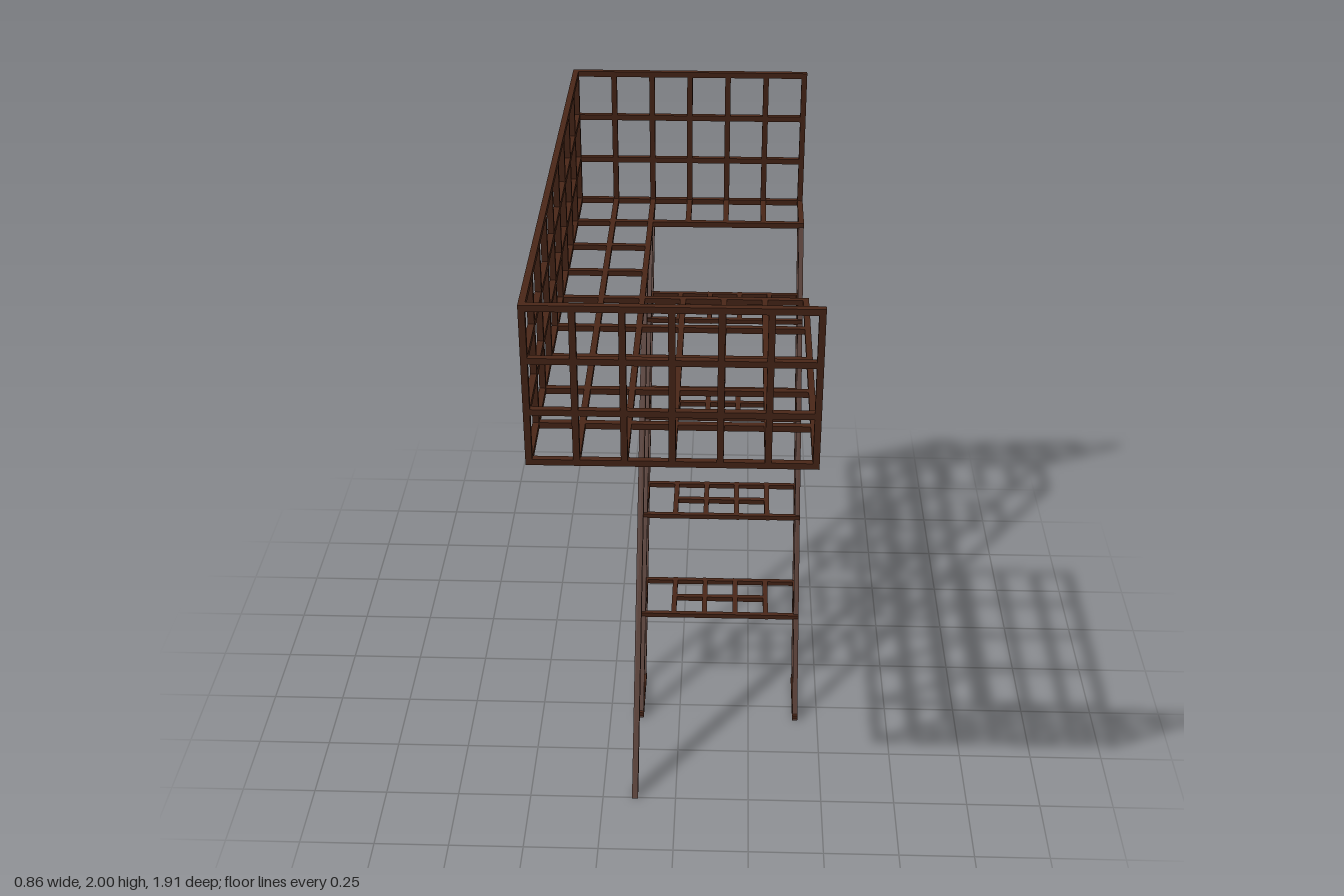
import * as THREE from 'three';

export function createModel() {
  const root = new THREE.Group();
  const brown = new THREE.MeshStandardMaterial({ color: 0x4a2718 });
  brown.name = 'dark brown';

  const T = 0.02;                       // bar thickness
  const X = 0.42, Z = 0.943;            // half sizes of the deck
  const floorY = 1.486, topY = 1.99;
  const sx = X / 3, sz = (2 * Z) / 9;   // deck grid cell
  const rail = (topY - floorY) / 3;     // wall grid row
  const xs = i => -X + i * sx;
  const zs = k => Z - k * sz;

  const group = name => {
    const g = new THREE.Group();
    g.name = name;
    root.add(g);
    return g;
  };

  // Straight bar along one axis between two points
  function bar(parent, name, a, b, t = T) {
    const size = a.map((v, i) => Math.abs(b[i] - v) + t);
    const m = new THREE.Mesh(new THREE.BoxGeometry(...size), brown);
    m.position.set(...a.map((v, i) => (v + b[i]) / 2));
    m.name = name;
    parent.add(m);
  }

  // Bar leaning backwards, with ends cut level
  const treadRise = (floorY - 0.01) / 5;
  const slope = sz / treadRise;
  function slantedBar(parent, name, x, zFoot, depth, width = T) {
    const geo = new THREE.BoxGeometry(width, floorY, depth);
    geo.translate(0, floorY / 2, 0);
    const p = geo.attributes.position;
    for (let i = 0; i < p.count; i++) p.setZ(i, p.getZ(i) - slope * p.getY(i));
    geo.computeVertexNormals();
    const m = new THREE.Mesh(geo, brown);
    m.position.set(x, 0, zFoot);
    m.name = name;
    parent.add(m);
  }

  // Deck grid, with an opening over the stairs (x cells 2-6, z cells 5-8)
  const deck = group('deck');
  for (let i = 0; i <= 6; i++) {
    if (i <= 2) bar(deck, 'deckLongBar', [xs(i), floorY, Z], [xs(i), floorY, -Z]);
    else {
      bar(deck, 'deckLongBar', [xs(i), floorY, Z], [xs(i), floorY, zs(5)]);
      bar(deck, 'deckLongBar', [xs(i), floorY, zs(8)], [xs(i), floorY, -Z]);
    }
  }
  for (let k = 0; k <= 9; k++) {
    const end = k === 6 || k === 7 ? xs(2) : X;
    bar(deck, 'deckCrossBar', [-X, floorY, zs(k)], [end, floorY, zs(k)]);
  }

  // Front and back railings
  for (const [name, z] of [['frontRailing', Z], ['backRailing', -Z]]) {
    const g = group(name);
    for (let i = 0; i <= 6; i++) bar(g, 'railingPost', [xs(i), floorY, z], [xs(i), topY, z]);
    for (let r = 1; r <= 3; r++) {
      const y = floorY + r * rail;
      bar(g, 'railingRail', [-X, y, z], [X, y, z]);
    }
  }

  // Long railing on the right side
  const side = group('sideRailing');
  for (let k = 1; k < 9; k++) bar(side, 'railingPost', [-X, floorY, zs(k)], [-X, topY, zs(k)]);
  for (let r = 1; r <= 3; r++) {
    const y = floorY + r * rail;
    bar(side, 'railingRail', [-X, y, Z], [-X, y, -Z]);
  }

  // Stair stringers: a front and a back bar on each side, joined at the foot
  const stairs = group('stairs');
  const x0 = xs(2), x1 = X;
  for (const x of [x0, x1]) {
    slantedBar(stairs, 'stringerFront', x, zs(3), 0.026, 0.018);
    slantedBar(stairs, 'stringerBack', x, zs(4), 0.022, 0.016);
    bar(stairs, 'stringerFoot', [x, 0.01, zs(3)], [x, 0.01, zs(4)]);
  }

  // Four open grid treads
  const step = (x1 - x0) / 5;
  for (let k = 1; k <= 4; k++) {
    const tread = new THREE.Group();
    tread.name = 'tread';
    stairs.add(tread);
    const y = 0.01 + k * treadRise, zf = zs(3 + k), zb = zs(4 + k), zm = (zf + zb) / 2;
    for (const z of [zf, zb]) bar(tread, 'treadEdge', [x0, y, z], [x1, y, z], 0.017);
    for (let i = 0; i <= 5; i++) {
      const x = x0 + i * step;
      bar(tread, 'treadBar', [x, y, zf], [x, y, zb], 0.018);
    }
    bar(tread, 'treadMiddle', [x0 + step, y, zm], [x1 - step, y, zm], 0.018);
  }

  // Leaning support pole under the deck
  slantedBar(root, 'supportPole', x0, zs(1), 0.044);

  return root;
}
